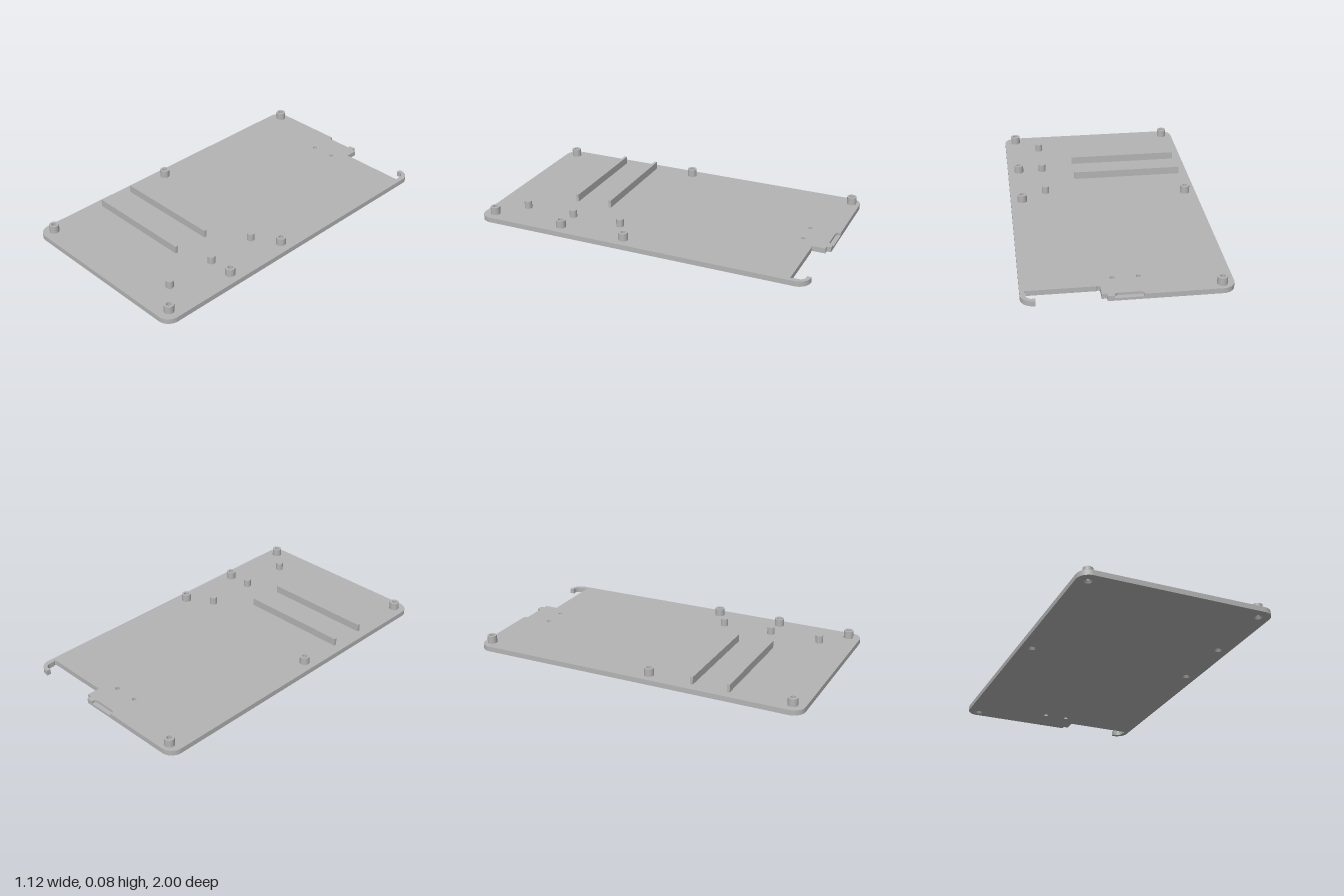
import * as THREE from 'three';

const T = 0.03;    // plate thickness
const TOP = 0.075; // height of posts, pins and ribs

export function createModel() {
  const group = new THREE.Group();
  group.name = 'mountingPlate';
  const grey = new THREE.MeshStandardMaterial({ color: 0xb4b4b4 });
  grey.name = 'plain grey';

  const add = (name, geometry, x = 0, y = 0, z = 0) => {
    const mesh = new THREE.Mesh(geometry, grey);
    mesh.name = name;
    mesh.position.set(x, y, z);
    group.add(mesh);
  };

  const posts = [[-0.493, -0.95], [-0.495, 0.092], [-0.495, 0.93], [0.492, 0.092], [0.492, 0.49], [0.492, 0.93]];
  const postR = 0.028;

  // Plate outline, drawn in (x, -z)
  const W = 0.56, L = 1, r = 0.07;
  const s = new THREE.Shape();
  s.moveTo(-W + r, -L);
  s.lineTo(W - r, -L);
  s.absarc(W - r, -L + r, r, -Math.PI / 2, 0, false);
  // right rear corner thins into a curved hook
  s.lineTo(W, L - r);
  s.absarc(W - r, L - r, r, 0, Math.PI / 2, false);
  s.lineTo(0.482, L);
  s.lineTo(0.482, 0.975);
  s.lineTo(0.505, 0.975);
  s.quadraticCurveTo(0.53, 0.965, 0.53, 0.94);
  s.lineTo(0.53, 0.915);
  s.quadraticCurveTo(0.543, 0.905, 0.53, 0.9);
  // connector cutout with relieved inner corner and small step
  s.lineTo(0.16, 0.9);
  s.quadraticCurveTo(0.148, 0.89, 0.142, 0.905);
  s.lineTo(0.142, 0.975);
  s.lineTo(0.115, 0.975);
  s.lineTo(0.115, L);
  // shallow recess in the rear edge
  s.lineTo(0.077, L);
  s.lineTo(0.077, 0.983);
  s.lineTo(0.062, 0.974);
  s.lineTo(-0.062, 0.974);
  s.lineTo(-0.077, 0.983);
  s.lineTo(-0.077, L);
  s.lineTo(-W + r, L);
  s.absarc(-W + r, L - r, r, Math.PI / 2, Math.PI, false);
  s.lineTo(-W, -L + r);
  s.absarc(-W + r, -L + r, r, Math.PI, Math.PI * 1.5, false);

  const hole = (x, z, radius) => {
    const p = new THREE.Path();
    p.absarc(x, -z, radius, 0, Math.PI * 2, true);
    s.holes.push(p);
  };
  posts.forEach(([x, z]) => hole(x, z, postR - 0.0005));
  for (const x of [-0.07, 0.07]) hole(x, -0.825, 0.013);

  const plate = new THREE.ExtrudeGeometry(s, { depth: T, bevelEnabled: false, curveSegments: 16 });
  plate.rotateX(-Math.PI / 2);
  add('plate', plate);
  add('recessFloor', new THREE.BoxGeometry(0.154, 0.015, 0.026), 0, 0.0075, -0.987);

  // Hollow screw posts, countersunk from below; separate lathes keep edges sharp
  const ring = [[0.023, 0], [0.015, 0.018], [0.015, TOP], [postR, TOP], [postR, 0], [0.023, 0]];
  posts.forEach(([x, z]) => {
    for (let i = 0; i < ring.length - 1; i++) {
      const pair = [ring[i + 1], ring[i]].map(([a, b]) => new THREE.Vector2(a, b));
      add('screwPost', new THREE.LatheGeometry(pair, 28), x, 0, z);
    }
  });

  // Solid locating pins
  for (const z of [0.185, 0.49, 0.795]) {
    add('pin', new THREE.CylinderGeometry(0.022, 0.022, TOP - 0.01, 24), 0.345, (TOP + 0.01) / 2, z);
  }

  // Parallel support ribs
  for (const z of [0.353, 0.57]) {
    add('rib', new THREE.BoxGeometry(0.655, TOP - 0.01, 0.017), -0.177, (TOP + 0.01) / 2, z);
  }
  return group;
}
